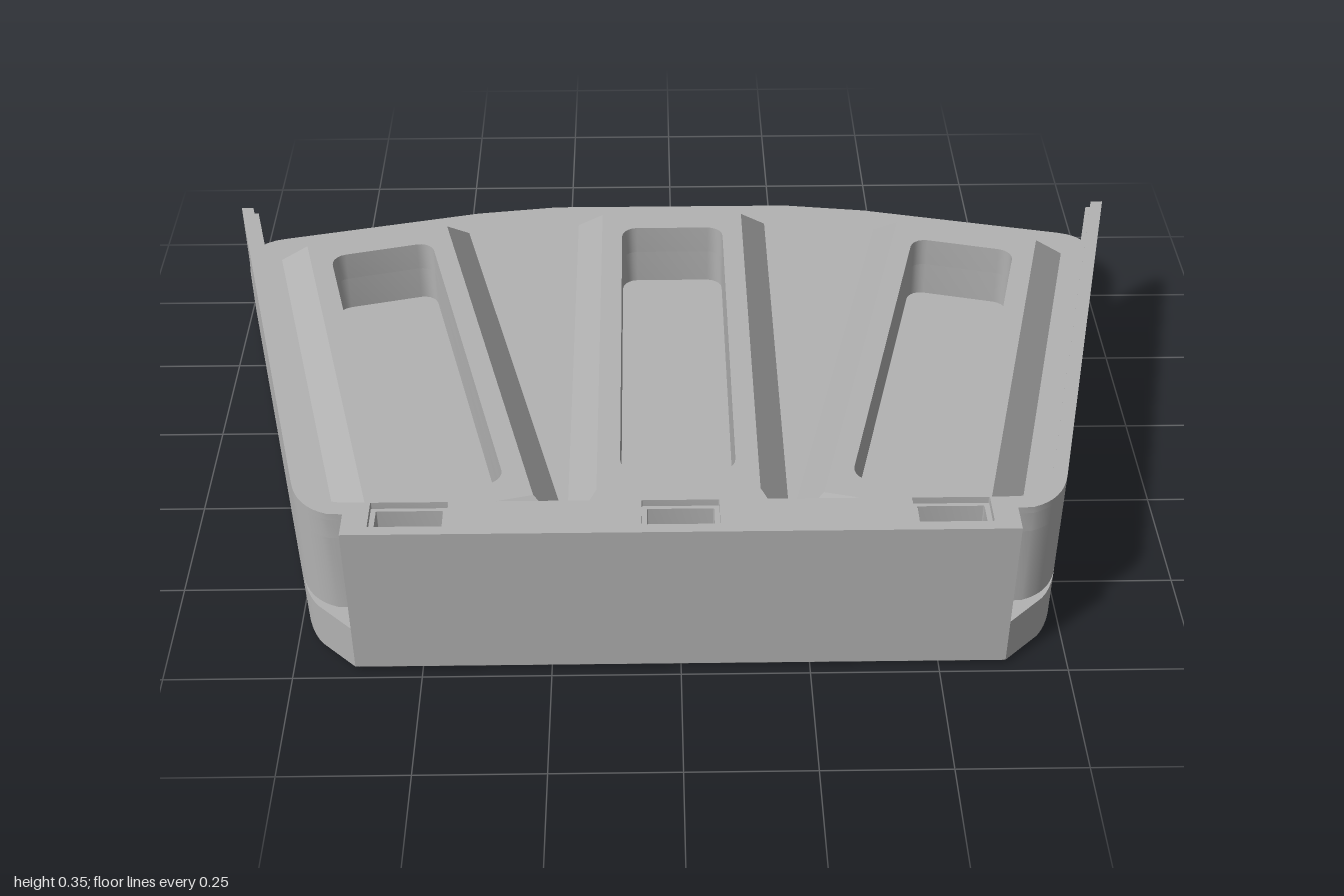
import * as THREE from 'three';
import { toCreasedNormals } from 'three/addons/utils/BufferGeometryUtils.js';

const V = (x, z) => new THREE.Vector2(x, -z); // plan coordinates (x, z)

// mirror a half outline (+x side, back to front) into a closed loop
const mirrored = (half) => [...half, ...half.map((p) => new THREE.Vector2(-p.x, p.y)).reverse()];

// rounded corner points
const corner = (a, b, c, n = 8) => new THREE.QuadraticBezierCurve(a, b, c).getPoints(n);

// rounded rectangle, half width w, half length l, placed and turned in plan
function roundRect(w, l, r, cx = 0, cz = 0, turn = 0) {
  const pts = [];
  [[1, 1], [-1, 1], [-1, -1], [1, -1]].forEach(([sx, sy], i) => {
    for (let k = 0; k <= 5; k++) {
      const a = (i + k / 5) * Math.PI / 2;
      pts.push(new THREE.Vector2(sx * (w - r) + r * Math.cos(a), sy * (l - r) + r * Math.sin(a)));
    }
  });
  return pts.map((p) => p.rotateAround(new THREE.Vector2(), turn).add(V(cx, cz)));
}

// upright slab between two heights, with an optional vertex rule
function slab(outline, holes, y0, y1, rule, steps = 1) {
  const shape = new THREE.Shape(outline);
  shape.holes = holes.map((h) => new THREE.Path(h));
  const geo = new THREE.ExtrudeGeometry(shape, { depth: y1 - y0, steps, bevelEnabled: false });
  geo.rotateX(-Math.PI / 2).translate(0, y0, 0);
  if (rule) {
    const pos = geo.attributes.position;
    const v = new THREE.Vector3();
    for (let i = 0; i < pos.count; i++) {
      rule(v.fromBufferAttribute(pos, i));
      pos.setXYZ(i, v.x, v.y, v.z);
    }
  }
  return toCreasedNormals(geo, 0.35);
}

export function createModel() {
  const model = new THREE.Group();
  model.name = 'fanTray';
  const grey = new THREE.MeshStandardMaterial({ color: 0xb2b2b2 });
  grey.name = 'grey';
  const add = (name, geo, parent = model) => {
    const mesh = new THREE.Mesh(geo, grey);
    mesh.name = name;
    parent.add(mesh);
    return mesh;
  };

  const FLOOR = 0.03, DECK = 0.112, RIM = 0.35, TOP = 0.18;
  const TURN = 0.242;
  const bays = [
    { name: 'left', x: 0.572, z: -0.024, turn: -TURN },
    { name: 'middle', x: 0, z: -0.0925, turn: 0 },
    { name: 'right', x: -0.572, z: -0.024, turn: TURN },
  ];

  // base: floor with a chamfered underside, then a deck pierced by the pockets
  const outline = mirrored([
    V(0.28, -0.735), V(0.47, -0.71),
    ...corner(V(0.93, -0.605), V(1.021, -0.585), V(0.992, -0.465)),
    ...corner(V(0.737, 0.58), V(0.725, 0.635), V(0.7, 0.665), 5),
    V(0.63, 0.73),
  ]);
  add('floor', slab(outline, [], 0, FLOOR, (v) => {
    if (v.y < 0.001) { v.x *= 0.99; v.z *= 0.987; }
  }, 3));
  add('deck', slab(outline, bays.map((b) => roundRect(0.118, 0.445, 0.035, b.x, b.z, b.turn)), FLOOR, DECK));

  // raised frames with sloping sides around each pocket
  const frame = slab(
    [V(-0.225, -0.5625), V(0.225, -0.5625), V(0.225, 0.5625), V(-0.225, 0.5625)],
    [roundRect(0.118, 0.445, 0.035)], DECK, TOP,
    (v) => {
      if (v.y > TOP - 0.01 && Math.abs(v.x) > 0.2) {
        v.x -= Math.sign(v.x) * 0.06;
        v.z -= Math.sign(v.z) * 0.06;
      }
    });
  for (const b of bays) {
    const mesh = add(b.name + 'PocketFrame', frame);
    mesh.position.set(b.x, 0, b.z);
    mesh.rotation.y = b.turn;
  }

  // U-shaped wall with a thick front bar; t is its thickness
  const wallOutline = (t) => mirrored([
    V(0.97 - t, -0.375), V(0.97, -0.375),
    ...corner(V(0.737, 0.58), V(0.72, 0.65), V(0.66, 0.67)),
    V(0.63, 0.672), V(0.63, 0.73),
  ]).concat(
    // inner face, running from the right end round to the left end
    (() => {
      const inner = corner(V(0.737 - t, 0.57), V(0.722 - t, 0.665 - t), V(0.65 - t, 0.665 - t));
      const other = inner.map((p) => new THREE.Vector2(-p.x, p.y));
      return [...other, ...inner.reverse()];
    })());
  // the mirrored loop closes along the right wall end; rotate it so the loop starts at the left end
  const slots = (w, l) => [-0.508, 0, 0.508].map((x) => roundRect(w, l, 0.002, x, 0.674));
  add('wall', slab(wallOutline(0.036), [], DECK, 0.29));
  add('slottedWall', slab(wallOutline(0.036), slots(0.063, 0.026), 0.29, 0.335));
  add('wallLip', slab(wallOutline(0.026), slots(0.073, 0.034), 0.335, RIM));

  return model;
}
